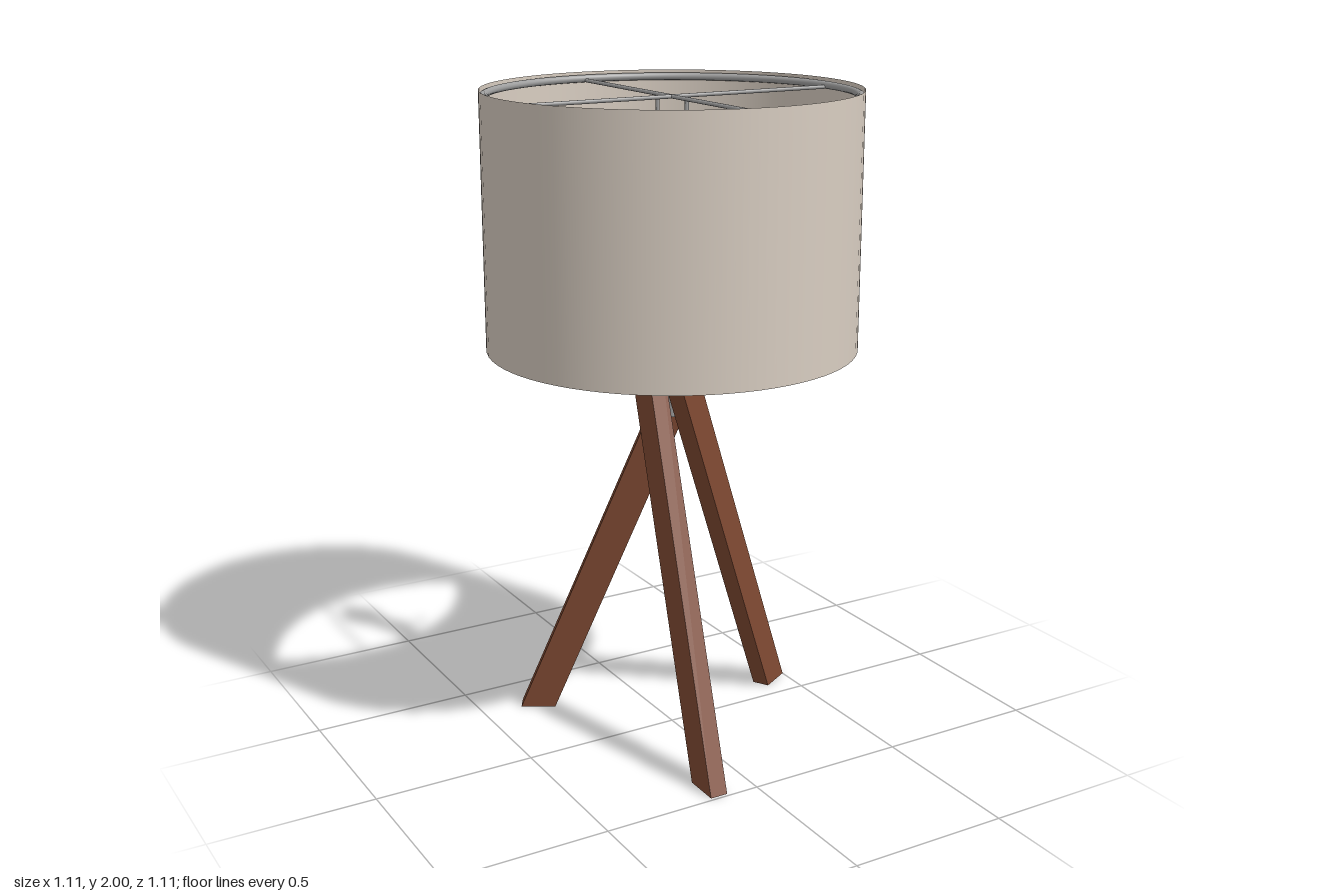
import * as THREE from 'three';

const mat = (name, color, side = THREE.FrontSide) =>
  Object.assign(new THREE.MeshStandardMaterial({ color, side }), { name });
const V = (x, y, z) => new THREE.Vector3(x, y, z);

export function createModel() {
  const fabric = mat('linen fabric', 0xd8cdc1, THREE.DoubleSide);
  const wood = mat('walnut wood', 0x804a33);
  const steel = mat('brushed steel', 0xa0a0a0);
  const dark = mat('dark glass', 0x4c4f4e);

  const lamp = new THREE.Group();
  lamp.name = 'tripodLamp';
  const add = (name, geometry, material, parent = lamp) => {
    const mesh = new THREE.Mesh(geometry, material);
    mesh.name = name;
    parent.add(mesh);
    return mesh;
  };
  const lathe = (points, segments = 32) =>
    new THREE.LatheGeometry(points.map(([r, y]) => new THREE.Vector2(r, y)), segments);

  // Three crossing legs: boxes sheared so both ends stay level
  const legHeight = 1.34;
  const foot = V(-0.125, 0, 0.435), tip = V(-0.047, legHeight, -0.12);
  const legGeometry = new THREE.BoxGeometry(0.055, legHeight, 0.11);
  const p = legGeometry.attributes.position;
  for (let i = 0; i < p.count; i++) {
    const end = p.getY(i) < 0 ? foot : tip;
    p.setXYZ(i, end.x + p.getX(i), end.y, end.z + p.getZ(i));
  }
  legGeometry.computeVertexNormals();
  for (let k = 0; k < 3; k++) {
    add('leg' + (k + 1), legGeometry, wood).rotation.y = (k * Math.PI * 2) / 3;
  }

  // Open drum shade
  const shade = add('shade', new THREE.CylinderGeometry(0.553, 0.553, 0.76, 72, 1, true), fabric);
  shade.position.y = 1.62;

  // Ring and crossed spokes that carry the shade
  const spokeY = 1.975;
  const ring = add('shadeRing', new THREE.TorusGeometry(0.541, 0.0115, 12, 72), steel);
  ring.rotation.x = Math.PI / 2;
  ring.position.y = spokeY + 0.005;
  for (const [name, turn] of [['spokeAcross', 0], ['spokeDeep', Math.PI / 2]]) {
    const spoke = add(name, new THREE.CylinderGeometry(0.006, 0.006, 1.08, 10), steel);
    spoke.rotation.set(0, turn, Math.PI / 2);
    spoke.position.y = spokeY;
  }

  // Stem and socket
  add('stem', lathe([[0, 1.02], [0.02, 1.02], [0.02, 1.3], [0.026, 1.33], [0.026, 1.36], [0, 1.36]]), steel);
  add('socket', lathe([
    [0, 1.36], [0.018, 1.36], [0.02, 1.4], [0.036, 1.43], [0.036, 1.44], [0.036, 1.55],
    [0.04, 1.56], [0.04, 1.575], [0, 1.575],
  ]), steel);

  // Switch stub and knob on the left side of the socket
  const stub = add('switchStub', new THREE.CylinderGeometry(0.007, 0.007, 0.07, 12), steel);
  stub.rotation.z = Math.PI / 2;
  stub.position.set(0.065, 1.49, 0);
  const knob = add('switchKnob', new THREE.CylinderGeometry(0.012, 0.012, 0.022, 12), dark);
  knob.rotation.z = Math.PI / 2;
  knob.position.set(0.107, 1.49, 0);

  // Bulb
  add('bulb', lathe([
    [0.03, 1.57], [0.032, 1.6], [0.044, 1.635], [0.058, 1.665], [0.062, 1.69],
    [0.058, 1.716], [0.044, 1.739], [0.024, 1.75], [0, 1.753],
  ]), dark);

  // Harp rods rising from the saddle to the spoke
  for (const s of [1, -1]) {
    const path = new THREE.CurvePath();
    path.add(new THREE.QuadraticBezierCurve3(V(0, 1.4, 0), V(0, 1.4, s * 0.083), V(0, 1.48, s * 0.083)));
    path.add(new THREE.LineCurve3(V(0, 1.48, s * 0.083), V(0, spokeY, s * 0.083)));
    const side = s > 0 ? 'Front' : 'Back';
    add('harp' + side, new THREE.TubeGeometry(path, 40, 0.006, 10), steel);
    const sleeve = add('harpSleeve' + side, new THREE.CylinderGeometry(0.01, 0.01, 0.05, 12), steel);
    sleeve.position.set(0, 1.5, s * 0.083);
  }
  return lamp;
}
